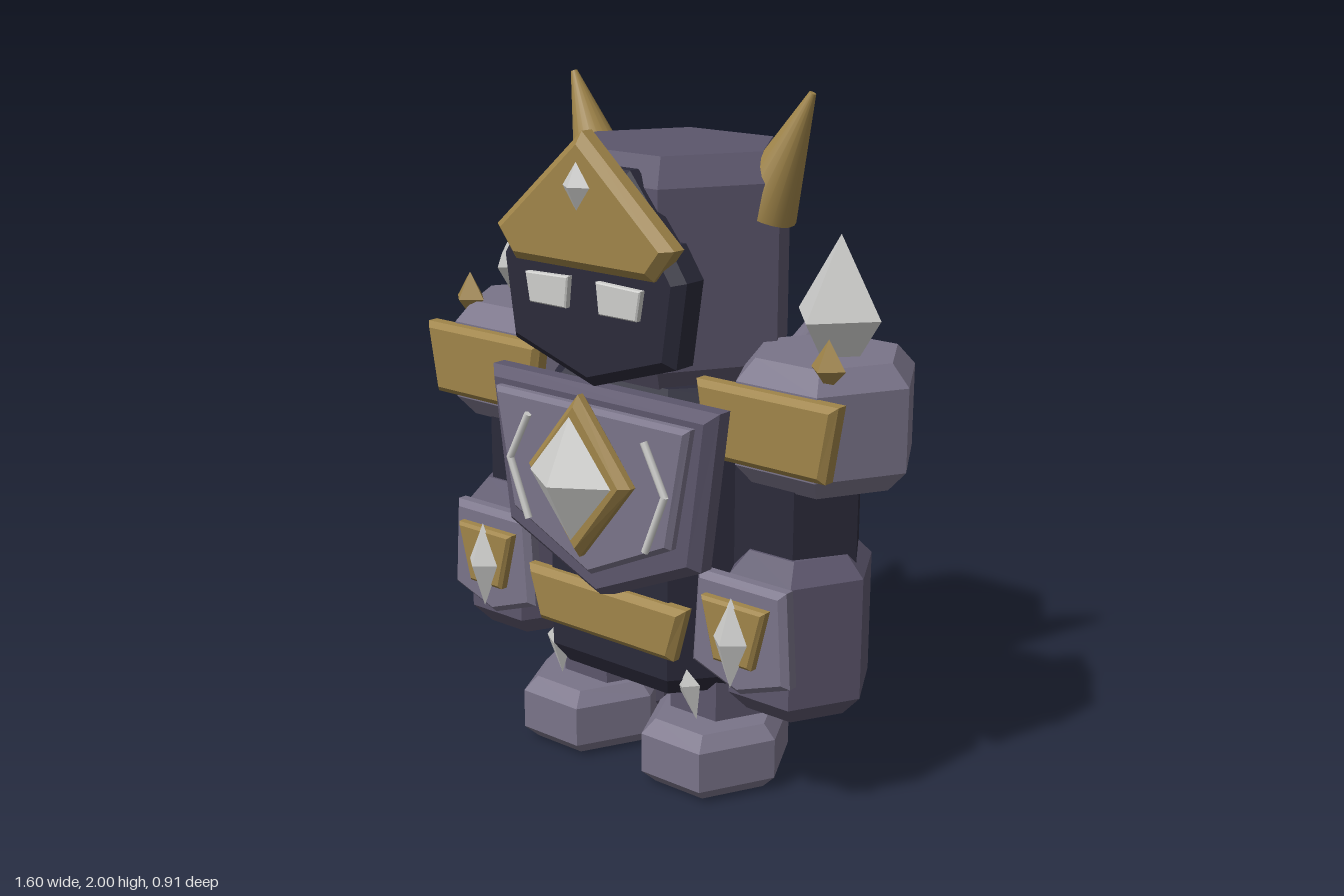
import * as THREE from 'three';

const mat = (name, color) => Object.assign(new THREE.MeshStandardMaterial({ color }), { name });

export function createModel() {
  const root = new THREE.Group();
  root.name = 'armouredGolem';
  const M = {
    purple: mat('dusk purple', 0x5c566c),
    mauve: mat('pale mauve', 0x7a7489),
    navy: mat('dark navy', 0x2b2a3a),
    gold: mat('old gold', 0x9f8449),
    crystal: mat('pale crystal', 0xcdcdcb),
  };

  const add = (name, geo, material, x = 0, y = 0, z = 0) => {
    const mesh = new THREE.Mesh(geo, material);
    mesh.name = name;
    mesh.position.set(x, y, z);
    root.add(mesh);
    return mesh;
  };

  // Six-sided block with chamfered rims, corners pointing to +x and -x
  const hexBlock = (name, material, x, z, y0, y1, rx, rz, bevel, inset = bevel) => {
    const h = y1 - y0, k = 1 - inset / rx;
    const profile = [[0, 0], [k, 0], [1, bevel], [1, h - bevel], [k, h], [0, h]]
      .map(([r, y]) => new THREE.Vector2(r, y));
    const geo = new THREE.LatheGeometry(profile, 6).toNonIndexed();
    geo.rotateY(Math.PI / 6);
    geo.scale(rx, 1, rz / 0.866);
    geo.computeVertexNormals();
    return add(name, geo, material, x, y0, z);
  };

  // Armour plate from an outline, chamfered, between depths z0 and z1
  const plate = (name, material, pts, z0, z1, bevel, x = 0) => {
    const shape = new THREE.Shape(pts.map(p => new THREE.Vector2(p[0], p[1])));
    const geo = new THREE.ExtrudeGeometry(shape, {
      depth: z1 - z0 - 2 * bevel, bevelEnabled: true, bevelSegments: 1,
      bevelThickness: bevel, bevelSize: bevel, bevelOffset: -bevel,
    });
    return add(name, geo, material, x, 0, z0 + bevel);
  };
  // Symmetric outline: right half listed top to bottom, then mirrored
  const sym = half => [...half, ...half.filter(p => p[0] > 0).reverse().map(([x, y]) => [-x, y])];

  // Four-sided crystal with separate upper and lower lengths
  const gem = (name, material, x, y, z, rx, up, down, rz) => {
    const geo = new THREE.OctahedronGeometry(1, 0);
    const p = geo.attributes.position;
    for (let i = 0; i < p.count; i++) {
      const py = p.getY(i);
      p.setXYZ(i, p.getX(i) * rx, py * (py > 0 ? up : down), p.getZ(i) * rz);
    }
    geo.computeVertexNormals();
    return add(name, geo, material, x, y, z);
  };

  // Round tapered piece running from a to b
  const spike = (name, material, a, b, r0, r1, sides = 20) => {
    const from = new THREE.Vector3(...a), to = new THREE.Vector3(...b);
    const dir = to.clone().sub(from);
    const mesh = add(name, new THREE.CylinderGeometry(r1, r0, dir.length(), sides), material);
    mesh.position.copy(from).add(to).multiplyScalar(0.5);
    mesh.quaternion.setFromUnitVectors(new THREE.Vector3(0, 1, 0), dir.normalize());
    return mesh;
  };

  // Torso and hood
  hexBlock('body', M.navy, 0, -0.08, 0.29, 1.2, 0.44, 0.28, 0.06);
  hexBlock('hood', M.purple, 0, -0.1, 1.17, 1.835, 0.365, 0.3, 0.08, 0.06);

  // Face
  plate('visorBack', M.navy, sym([[0.1, 1.8], [0.3, 1.55], [0.26, 1.4]]), 0.17, 0.225, 0.01);
  plate('visor', M.navy, sym([[0.27, 1.62], [0.33, 1.53], [0.295, 1.29], [0, 1.195]]), 0.155, 0.285, 0.03);
  plate('crest', M.gold, sym([[0, 1.905], [0.32, 1.62], [0.25, 1.53]]), 0.23, 0.32, 0.025);
  gem('crestGem', M.crystal, 0, 1.76, 0.315, 0.055, 0.075, 0.075, 0.04);

  // Chest armour, belt and central crystal
  plate('chestPlate', M.purple, sym([[0.42, 1.185], [0.36, 0.72], [0, 0.56]]), 0.15, 0.255, 0.03);
  plate('chestPanel', M.mauve, sym([[0.36, 1.14], [0.295, 0.785], [0, 0.645]]), 0.24, 0.29, 0.015);
  plate('chestDiamond', M.gold, sym([[0, 1.185], [0.19, 0.95], [0, 0.71]]), 0.28, 0.345, 0.022);
  gem('chestCrystal', M.crystal, 0, 0.95, 0.36, 0.15, 0.18, 0.18, 0.095);
  plate('belt', M.gold, sym([[0.3, 0.59], [0.255, 0.425]]), 0.17, 0.235, 0.02);

  for (const s of [1, -1]) {
    // Eyes and horns
    plate('eye', M.crystal, [[0.05, 1.505], [0.21, 1.5], [0.195, 1.415], [0.06, 1.415]]
      .map(([x, y]) => [x * s, y]), 0.28, 0.305, 0.004);
    spike('horn', M.gold, [0.285 * s, 1.67, -0.13], [0.43 * s, 1.997, -0.15], 0.1, 0.01);

    // Chevron on the chest panel
    spike('chevronUpper', M.crystal, [0.215 * s, 1.085, 0.297], [0.29 * s, 0.94, 0.297], 0.011, 0.011, 8);
    spike('chevronLower', M.crystal, [0.29 * s, 0.945, 0.297], [0.22 * s, 0.77, 0.297], 0.011, 0.011, 8);

    // Spikes on the back
    spike('backSpike', M.mauve, [0.17 * s, 1.08, -0.385], [0.385 * s, 1.465, -0.435], 0.075, 0.01);

    // Shoulder with crystal, spike and gold plate
    hexBlock('shoulder', M.mauve, 0.535 * s, -0.1, 0.96, 1.315, 0.265, 0.235, 0.06, 0.055);
    gem('shoulderCrystal', M.crystal, 0.567 * s, 1.42, -0.105, 0.135, 0.22, 0.22, 0.155);
    gem('shoulderSpike', M.gold, 0.66 * s, 1.32, 0.075, 0.055, 0.08, 0.06, 0.05);
    plate('shoulderPlate', M.gold, sym([[0.233, 1.25], [0.198, 1.035]]), 0.11, 0.18, 0.018, 0.522 * s);

    // Arm and gauntlet
    hexBlock('upperArm', M.navy, 0.47 * s, -0.07, 0.65, 1.05, 0.2, 0.16, 0.03);
    hexBlock('gauntlet', M.purple, 0.505 * s, -0.045, 0.295, 0.77, 0.207, 0.195, 0.06, 0.055);
    plate('gauntletPlate', M.mauve, sym([[0.15, 0.715], [0.168, 0.44], [0, 0.38]]), 0.14, 0.205, 0.018, 0.472 * s);
    plate('gauntletTrim', M.gold, sym([[0.11, 0.66], [0.065, 0.48]]), 0.195, 0.237, 0.01, 0.472 * s);
    gem('gauntletCrystal', M.crystal, 0.472 * s, 0.555, 0.235, 0.06, 0.125, 0.14, 0.05);

    // Leg, foot and hanging crystal
    hexBlock('leg', M.purple, 0.21 * s, -0.1, 0.08, 0.42, 0.17, 0.17, 0.03);
    hexBlock('foot', M.mauve, 0.235 * s, -0.01, 0, 0.2, 0.215, 0.215, 0.04);
    gem('kneeCrystal', M.crystal, 0.25 * s, 0.335, 0.145, 0.047, 0.06, 0.125, 0.025).rotation.set(0.22, 0, 0.1 * s);
  }
  return root;
}
